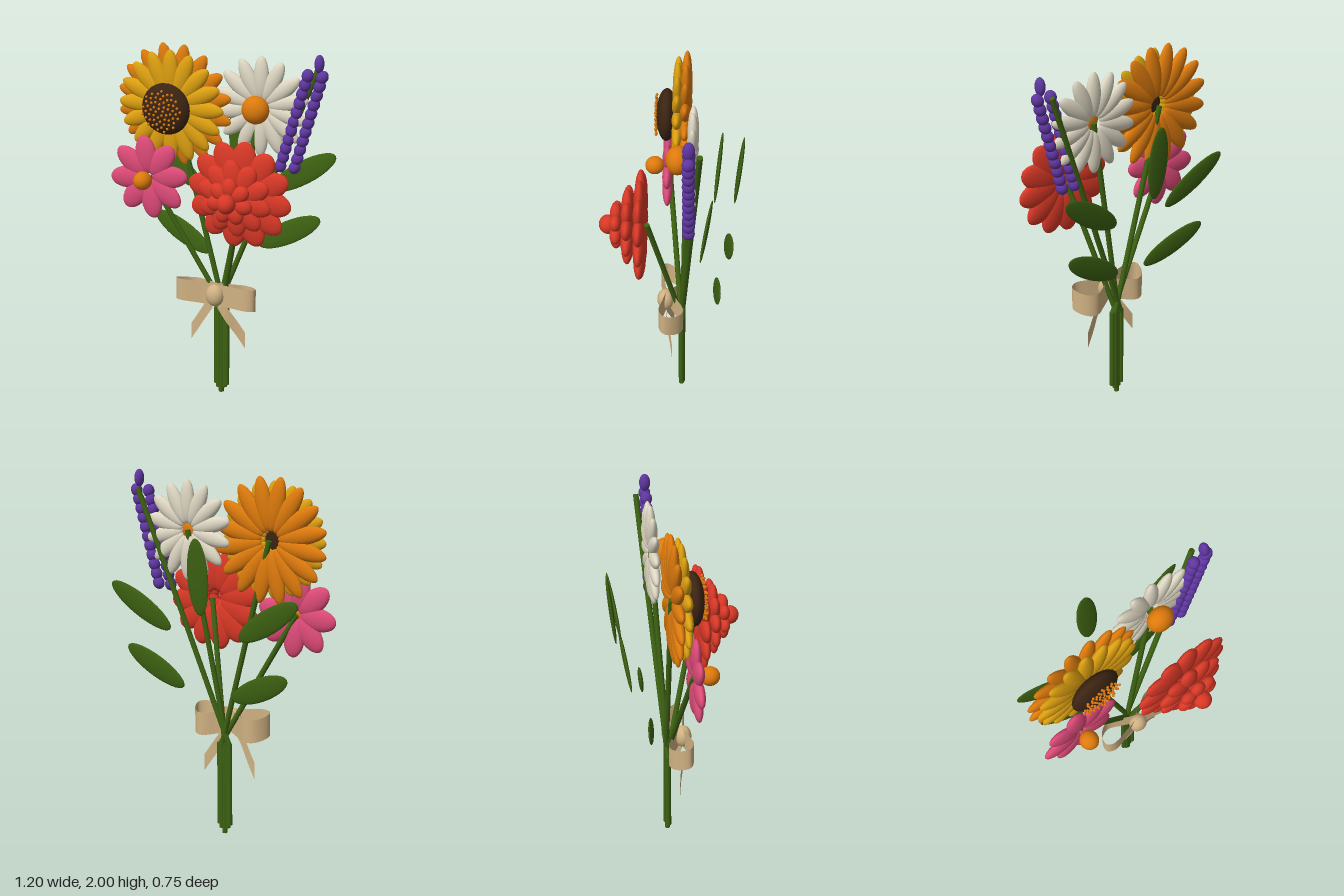
import * as THREE from 'three';

const mat = (name, color) => {
  const m = new THREE.MeshStandardMaterial({ color });
  m.name = name;
  return m;
};

export function createModel() {
  const root = new THREE.Group();
  root.name = 'bouquet';

  const yellow = mat('golden yellow', 0xdc9f10);
  const orange = mat('orange', 0xdd7a0c);
  const brown = mat('seed brown', 0x3b2412);
  const cream = mat('cream white', 0xddd6c2);
  const pink = mat('pink', 0xdd4a78);
  const red = mat('red', 0xd93826);
  const purple = mat('purple', 0x5f36a0);
  const green = mat('leaf green', 0x3d6212);
  const tan = mat('ribbon tan', 0xd0b283);
  tan.side = THREE.DoubleSide;

  const ball = new THREE.SphereGeometry(1, 22, 14);
  const bead = new THREE.SphereGeometry(1, 8, 6);

  const add = (parent, name, geometry, material) => {
    const m = new THREE.Mesh(geometry, material);
    m.name = name;
    parent.add(m);
    return m;
  };
  const ellipsoid = (parent, name, material, pos, size, geometry = ball) => {
    const m = add(parent, name, geometry, material);
    m.position.set(...pos);
    m.scale.set(...size);
    return m;
  };
  const group = (name, x = 0, y = 0, z = 0) => {
    const g = new THREE.Group();
    g.name = name;
    g.position.set(x, y, z);
    root.add(g);
    return g;
  };

  // Ring of flattened petals reaching from radius r0 to r1
  const petalRing = (parent, name, material, { n, r0, r1, w, t, z, phase = 0 }) => {
    const mid = (r0 + r1) / 2;
    for (let i = 0; i < n; i++) {
      const a = Math.PI / 2 + phase + (i / n) * Math.PI * 2;
      const p = ellipsoid(parent, name, material,
        [Math.cos(a) * mid, Math.sin(a) * mid, z], [(r1 - r0) / 2, w, t]);
      p.rotation.z = a;
    }
  };

  // Sunflower
  const sunflower = group('sunflower', -0.26, 1.66, 0);
  petalRing(sunflower, 'backPetal', orange,
    { n: 16, r0: 0.05, r1: 0.34, w: 0.047, t: 0.028, z: -0.063, phase: Math.PI / 16 });
  petalRing(sunflower, 'frontPetal', yellow,
    { n: 16, r0: 0.05, r1: 0.31, w: 0.047, t: 0.028, z: -0.02 });
  ellipsoid(sunflower, 'seedDisc', brown, [0, 0, 0.04], [0.14, 0.14, 0.055]);
  const seeds = 60;
  for (let i = 0; i < seeds; i++) {
    const r = 0.115 * Math.sqrt((i + 0.5) / seeds), a = i * 2.39996;
    ellipsoid(sunflower, 'seed', orange,
      [Math.cos(a) * r, Math.sin(a) * r, 0.095], [0.0075, 0.0075, 0.0075], bead);
  }

  // Daisy
  const daisy = group('daisy', 0.225, 1.69, 0);
  petalRing(daisy, 'daisyPetal', cream,
    { n: 14, r0: 0.035, r1: 0.273, w: 0.042, t: 0.028, z: -0.11 });
  ellipsoid(daisy, 'daisyCentre', orange, [0, 0, -0.035], [0.075, 0.075, 0.06]);

  // Pink cosmos
  const cosmos = group('pinkFlower', -0.37, 1.265, 0);
  petalRing(cosmos, 'pinkPetal', pink,
    { n: 8, r0: 0.02, r1: 0.235, w: 0.062, t: 0.028, z: 0.037, phase: 0.12 });
  ellipsoid(cosmos, 'pinkFlowerCentre', orange, [0, 0, 0.112], [0.051, 0.051, 0.053]);

  // Layered red bloom
  const dahlia = group('redFlower', 0.22, 1.283, 0);
  petalRing(dahlia, 'outerPetal', red,
    { n: 12, r0: 0.04, r1: 0.293, w: 0.073, t: 0.031, z: 0.157, phase: -0.13 });
  petalRing(dahlia, 'middlePetal', red,
    { n: 10, r0: 0.025, r1: 0.207, w: 0.057, t: 0.031, z: 0.222, phase: 0.1 });
  petalRing(dahlia, 'innerPetal', red,
    { n: 7, r0: 0.02, r1: 0.127, w: 0.043, t: 0.031, z: 0.282 });
  ellipsoid(dahlia, 'redFlowerCentre', red, [0, 0, 0.325], [0.049, 0.052, 0.048]);

  // Lavender spike: paired buds and a tip
  const lavender = group('lavender');
  for (let i = 0; i < 11; i++) {
    const y = 1.385 + i * 0.05, x = 0.387 + (y - 1.385) * 0.28;
    for (const s of [-1, 1]) {
      const b = ellipsoid(lavender, 'bud', purple, [x + s * 0.04, y, -0.097], [0.031, 0.036, 0.032]);
      b.rotation.z = -0.27 - s * 0.25;
    }
  }
  ellipsoid(lavender, 'budTip', purple, [0.549, 1.952, -0.097], [0.025, 0.048, 0.03]);

  // Stems: upright below the tie, crossing and fanning out above it
  const stems = group('stems');
  const stemBetween = (a, b) => {
    const from = new THREE.Vector3(...a), to = new THREE.Vector3(...b);
    const dir = to.clone().sub(from);
    const m = add(stems, 'stem', new THREE.CylinderGeometry(0.015, 0.015, dir.length(), 10), green);
    m.position.copy(from).add(to).multiplyScalar(0.5);
    m.quaternion.setFromUnitVectors(new THREE.Vector3(0, 1, 0), dir.normalize());
  };
  const stemData = [
    // foot x, foot y, foot z, head
    [0.058, 0.05, -0.055, [-0.37, 1.265, 0.03]],
    [0.042, 0.03, -0.06, [-0.26, 1.66, -0.07]],
    [0.025, 0.0, -0.055, [0.22, 1.283, 0.125]],
    [0.01, 0.03, -0.05, [0.225, 1.69, -0.11]],
    [-0.006, 0.05, -0.055, [0.52, 1.9, -0.15]],
  ];
  for (const [x, y, z, head] of stemData) {
    stemBetween([x, y, z], [x, 0.52, z]);
    stemBetween([x, 0.505, z], head);
  }

  // Leaves: position, half length, yaw, roll
  const leaves = group('leaves');
  const leafData = [
    [[-0.272, 0.888, -0.182], 0.205, -0.12, Math.PI - 0.43],
    [[-0.356, 1.268, -0.243], 0.217, -0.04, Math.PI - 0.56],
    [[0.345, 0.957, -0.247], 0.2, 0.03, 0.51],
    [[0.4, 1.293, -0.3], 0.212, 0.04, 0.57],
    [[0, 1.485, -0.35], 0.205, 0, Math.PI / 2],
  ];
  for (const [pos, len, yaw, roll] of leafData) {
    const leaf = ellipsoid(leaves, 'leaf', green, pos, [len, 0.064, 0.012]);
    leaf.rotation.set(-0.1, yaw, roll);
  }

  // Ribbon: upright strip following a curve
  const ribbon = (parent, name, points, height) => {
    const curve = new THREE.CatmullRomCurve3(points.map(p => new THREE.Vector3(...p)));
    const n = 32;
    const geo = new THREE.PlaneGeometry(1, 1, n, 1);
    const pos = geo.attributes.position;
    for (let row = 0; row < 2; row++) {
      for (let i = 0; i <= n; i++) {
        const p = curve.getPoint(i / n);
        pos.setXYZ(row * (n + 1) + i, p.x, p.y + (row ? -0.5 : 0.5) * height, p.z);
      }
    }
    geo.computeVertexNormals();
    add(parent, name, geo, tan);
  };

  // Bow with two loops, two tails and a knot
  const bow = group('bow', 0.027, 0.633, 0);
  for (const s of [-1, 1]) {
    ribbon(bow, 'bowLoop', [
      [0, 0, 0.03], [s * 0.1, 0.008, 0.05], [s * 0.19, 0.013, 0.067], [s * 0.232, 0.008, 0.045],
      [s * 0.23, -0.005, 0.005], [s * 0.19, -0.02, -0.05], [s * 0.14, -0.022, -0.065],
      [s * 0.07, -0.012, -0.03], [0, 0, 0.01],
    ], 0.128);
    ribbon(bow, 'bowTail', [
      [s * 0.015, -0.03, 0.035], [s * 0.06, -0.1, 0.03], [s * 0.115, -0.185, 0.008], [s * 0.165, -0.263, -0.006],
    ], 0.095);
  }
  ellipsoid(bow, 'bowKnot', tan, [0, 0, 0.036], [0.053, 0.064, 0.047]);

  return root;
}
